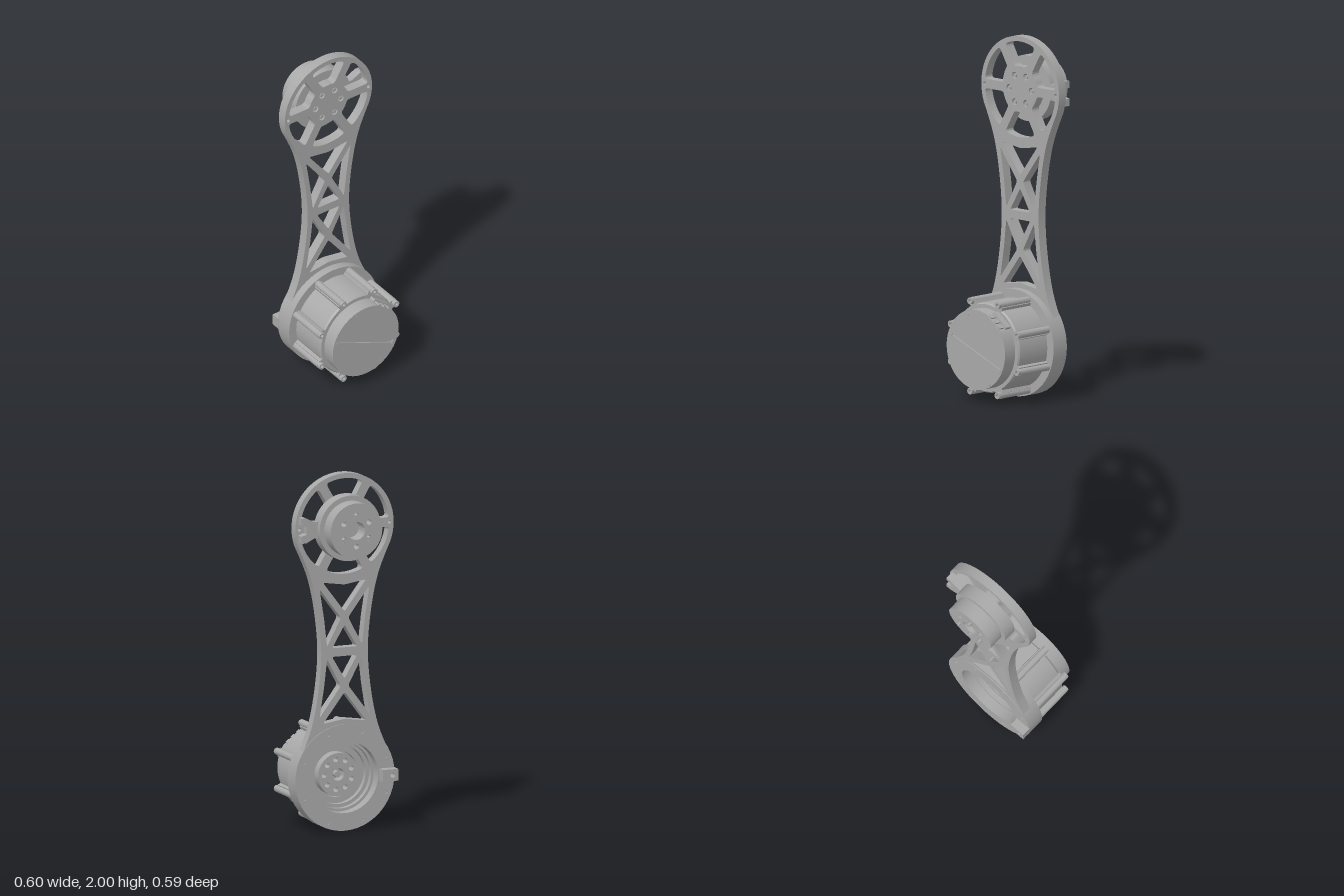
import * as THREE from 'three';
import { toCreasedNormals } from 'three/addons/utils/BufferGeometryUtils.js';

const UPPER = 1.705, LOWER = 0.3; // joint centre heights
const V = (x, y) => new THREE.Vector2(x, y);
const polar = (r, a, cy = 0) => V(r * Math.cos(a), cy + r * Math.sin(a));

// Closed path with every corner rounded
function rounded(points, radius) {
  const path = new THREE.Path();
  const n = points.length;
  points.forEach((p, i) => {
    const toward = (q) => p.clone().lerp(q, Math.min(radius / p.distanceTo(q), 0.45));
    const a = toward(points[(i + n - 1) % n]);
    const b = toward(points[(i + 1) % n]);
    if (i) path.lineTo(a.x, a.y); else path.moveTo(a.x, a.y);
    path.quadraticCurveTo(p.x, p.y, b.x, b.y);
  });
  path.closePath();
  return path;
}

function circle(r, x = 0, y = 0, Type = THREE.Path) {
  return new Type().absarc(x, y, r, 0, Math.PI * 2);
}

export function createModel() {
  const model = new THREE.Group();
  const metal = new THREE.MeshStandardMaterial({ color: 0xa8a8a8 });
  metal.name = 'machined grey';

  const add = (name, geometry, x = 0, y = 0, z = 0, parent = model) => {
    const mesh = new THREE.Mesh(geometry, metal);
    mesh.name = name;
    mesh.position.set(x, y, z);
    parent.add(mesh);
    return mesh;
  };
  const extrude = (shape, z0, z1, curveSegments = 24) => {
    const g = new THREE.ExtrudeGeometry(shape, { depth: z1 - z0, bevelEnabled: false, curveSegments });
    return toCreasedNormals(g.translate(0, 0, z0), 0.6);
  };
  // Profile of [radius, z] pairs turned around the z axis
  const turned = (profile) => {
    const g = new THREE.LatheGeometry(profile.map(([r, z]) => V(r, z)), 64);
    return toCreasedNormals(g.rotateX(Math.PI / 2), 0.6);
  };
  const rod = (r, z0, z1, sides = 16) =>
    new THREE.CylinderGeometry(r, r, z1 - z0, sides).rotateX(Math.PI / 2).translate(0, 0, (z0 + z1) / 2);

  // Arm plate: two round ends joined by a waisted web
  const side = [[0.268, 1.585], [0.2, 1.42], [0.158, 1.22], [0.14, 1.0025], [0.158, 0.785], [0.2, 0.585], [0.268, 0.42]];
  const right = new THREE.SplineCurve(side.map(([x, y]) => V(x, y))).getPoints(36);
  const left = right.map((p) => V(-p.x, p.y)).reverse();
  const outline = [];
  for (let i = 0; i <= 48; i++) outline.push(polar(0.295, -0.42 + (i / 48) * (Math.PI + 0.84), UPPER));
  outline.push(...left.reverse());
  for (let i = 0; i <= 48; i++) outline.push(polar(0.295, Math.PI - 0.42 + (i / 48) * (Math.PI + 0.84), LOWER));
  outline.push(...right.reverse());
  const plate = new THREE.Shape(outline);

  // Six windows between the spokes of the upper end
  for (let k = 0; k < 6; k++) {
    const mid = Math.PI / 6 + (k * Math.PI) / 3;
    const arc = (r, from, to, n) => Array.from({ length: n + 1 }, (_, i) => {
      const half = Math.PI / 6 - Math.asin(0.026 / r);
      return polar(r, mid + half * (from + ((to - from) * i) / n), UPPER);
    });
    plate.holes.push(rounded([...arc(0.268, -1, 1, 5), ...arc(0.13, 1, -1, 2)], 0.022));
    const b = polar(0.085, (k * Math.PI) / 3, UPPER);
    plate.holes.push(circle(0.019, b.x, b.y));
  }
  for (const s of [-1, 1]) plate.holes.push(circle(0.01, s * 0.27, UPPER));

  // Truss windows, mirrored above and below the waist
  for (const m of [1, -1]) {
    const at = (x, y) => V(x, 1.0025 + m * y);
    plate.holes.push(rounded([at(-0.13, 0.395), at(0, 0.375), at(0.13, 0.395), at(0, 0.225)], 0.014));
    plate.holes.push(rounded([at(-0.075, 0.024), at(0.075, 0.024), at(0, 0.15)], 0.012));
    for (const s of [-1, 1]) {
      plate.holes.push(rounded([at(s * 0.15, 0.36), at(s * 0.123, 0.19), at(s * 0.105, 0.035), at(s * 0.022, 0.19)], 0.014));
    }
  }
  plate.holes.push(circle(0.25, 0, LOWER));
  add('armPlate', extrude(plate, -0.115, -0.06, 8));

  // Upper joint hub: flange and bored output
  const hub = new THREE.Group();
  hub.name = 'upperJoint';
  hub.position.y = UPPER;
  model.add(hub);
  add('hubFlange', rod(0.183, -0.19, -0.113, 64), 0, 0, 0, hub);
  const face = circle(0.155, 0, 0, THREE.Shape);
  face.holes.push(circle(0.05));
  for (let k = 0; k < 6; k++) {
    const p = polar(0.087, Math.PI / 6 + (k * Math.PI) / 3);
    face.holes.push(circle(0.015, p.x, p.y));
    if (k % 2) add('locatingPin', rod(0.011, -0.293, -0.19), p.x, p.y, 0, hub);
    const b = polar(0.085, (k * Math.PI) / 3);
    add('hubScrew', rod(0.012, -0.114, -0.062, 6), b.x, b.y, 0, hub);
  }
  add('hubOutput', extrude(face, -0.275, -0.19), 0, 0, 0, hub);

  // Forked stop beside the upper hub
  const fork = new THREE.Shape([
    V(0.17, -0.045), V(0.2, -0.045), V(0.25, -0.07), V(0.278, -0.07), V(0.278, -0.03), V(0.245, -0.02),
    V(0.245, 0.02), V(0.278, 0.03), V(0.278, 0.07), V(0.25, 0.07), V(0.2, 0.045), V(0.17, 0.045)]);
  add('forkStop', extrude(fork, -0.16, -0.113), 0, 0, 0, hub);

  // Lower motor
  const motor = new THREE.Group();
  motor.name = 'lowerMotor';
  motor.position.y = LOWER;
  model.add(motor);

  // Mounting ring with a stepped recess at the back
  const ring = circle(0.298, 0, 0, THREE.Shape);
  ring.holes.push(circle(0.2));
  for (let k = 0; k < 8; k++) {
    const p = polar(0.265, Math.PI / 8 + (k * Math.PI) / 4);
    ring.holes.push(circle(0.01, p.x, p.y));
  }
  add('mountingRing', extrude(ring, -0.12, -0.015), 0, 0, 0, motor);
  add('motorHousing', turned([
    [0, 0.03], [0.13, 0.03], [0.13, 0], [0.165, 0], [0.165, -0.03], [0.185, -0.03], [0.185, -0.06], [0.202, -0.06],
    [0.202, -0.016], [0.25, -0.016], [0.25, 0.2], [0.243, 0.21], [0, 0.21]]), 0, 0, 0, motor);

  // Rotor face inside the recess
  const rotor = circle(0.12, 0, 0, THREE.Shape);
  rotor.holes.push(circle(0.035));
  for (let k = 0; k < 9; k++) {
    const p = polar(0.085, (k * Math.PI * 2) / 9);
    rotor.holes.push(circle(0.014, p.x, p.y));
  }
  add('rotorFace', extrude(rotor, -0.03, 0.031), 0, 0, 0, motor);
  add('rotorShaft', rod(0.018, -0.025, 0.031), 0, 0, 0, motor);

  // Eight screw posts around the housing
  for (let k = 0; k < 8; k++) {
    const post = new THREE.Group();
    post.name = 'screwPost';
    post.rotation.z = Math.PI / 8 + (k * Math.PI) / 4;
    motor.add(post);
    add('post', rod(0.02, -0.016, 0.21), 0.272, 0, 0, post);
    add('postWeb', new THREE.BoxGeometry(0.035, 0.05, 0.226), 0.25, 0, 0.097, post);
    const head = circle(0.019, 0, 0, THREE.Shape);
    head.holes.push(circle(0.009));
    add('screwHead', extrude(head, 0.209, 0.231, 8), 0.272, 0, 0, post);
  }

  // Front cap with a flat for the connector and a diagonal slot
  const capShape = () => new THREE.Shape().absarc(0, 0, 0.222, 1.2, 0.6 + Math.PI * 2);
  add('cap', extrude(capShape(), 0.209, 0.282, 64), 0, 0, 0, motor);
  const capFace = capShape();
  capFace.holes.push(new THREE.Path([V(-0.182, 0.062), V(-0.18, 0.067), V(0.185, -0.07), V(0.178, -0.088)]));
  add('capFace', extrude(capFace, 0.282, 0.29, 64), 0, 0, 0, motor);
  for (const [x, y] of [[-0.06, 0.19], [0.1, -0.18], [-0.19, 0.06], [0.18, -0.1]]) {
    add('capScrew', rod(0.008, 0.285, 0.292, 10), x, y, 0, motor);
  }

  // Cable connector on the flat
  const connector = new THREE.Group();
  connector.name = 'cableConnector';
  connector.rotation.z = 0.9;
  motor.add(connector);
  add('connectorBody', new THREE.BoxGeometry(0.035, 0.12, 0.037), 0.21, 0, 0.228, connector);
  for (const y of [-0.04, 0, 0.04]) {
    add('connectorTab', new THREE.BoxGeometry(0.02, 0.022, 0.04), 0.21, y, 0.264, connector);
  }

  // Rear stop block with a screw hole
  const block = new THREE.Shape([V(-0.298, -0.033), V(-0.205, -0.033), V(-0.205, 0.033), V(-0.298, 0.033)]);
  block.holes.push(circle(0.014, -0.265, 0));
  add('rearStopBlock', extrude(block, -0.17, -0.118, 12), 0, 0, 0, motor);

  // Centre the depth on the origin line of the arm
  return model;
}
